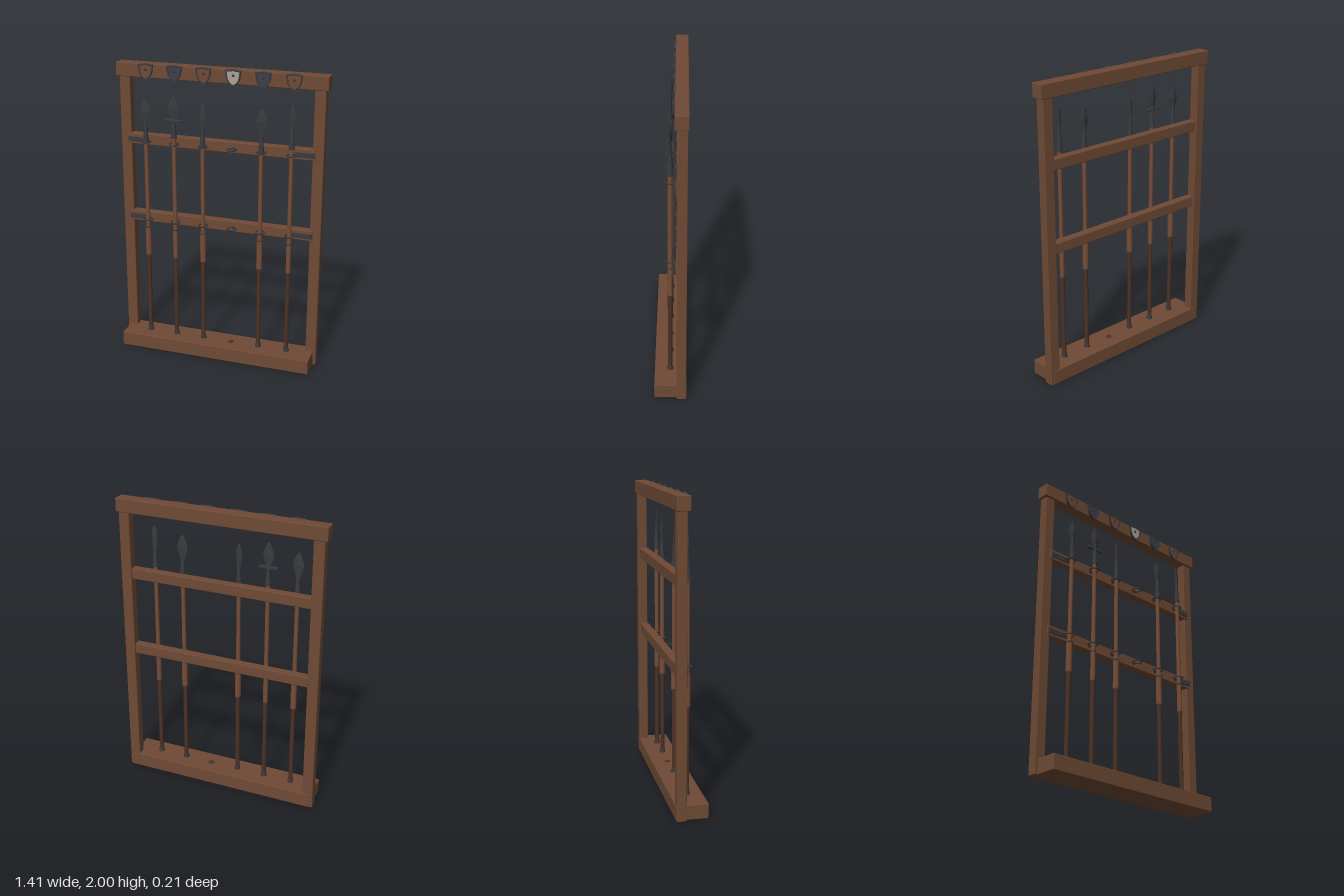
import * as THREE from 'three';
import { RoundedBoxGeometry } from 'three/addons/geometries/RoundedBoxGeometry.js';

const mat = (name, color) => {
  const m = new THREE.MeshStandardMaterial({ color });
  m.name = name;
  return m;
};

export function createModel() {
  const wood = mat('frame wood', 0x6f4a35);
  const shaftWood = mat('shaft wood', 0x774d36);
  const darkWood = mat('dark wood', 0x4c3225);
  const iron = mat('iron', 0x3a3b40);
  const slate = mat('slate paint', 0x3d3f4b);
  const pale = mat('pale paint', 0xa9a497);

  const model = new THREE.Group();
  model.name = 'spearRack';

  const add = (parent, name, geo, material, x = 0, y = 0, z = 0) => {
    const m = new THREE.Mesh(geo, material);
    m.name = name;
    m.position.set(x, y, z);
    parent.add(m);
    return m;
  };
  const group = (name, x, y, z) => {
    const g = new THREE.Group();
    g.name = name;
    g.position.set(x, y, z);
    model.add(g);
    return g;
  };
  // Softly bevelled timber given by its limits
  const beam = (name, x0, x1, y0, y1, z0, z1) =>
    add(model, name, new RoundedBoxGeometry(x1 - x0, y1 - y0, z1 - z0, 2, 0.006), wood,
      (x0 + x1) / 2, (y0 + y1) / 2, (z0 + z1) / 2);
  // Turned part standing between two heights
  const rod = (parent, name, y0, y1, r0, r1, material, sides = 12) =>
    add(parent, name, new THREE.CylinderGeometry(r1, r0, y1 - y0, sides), material, 0, (y0 + y1) / 2, 0);

  // Frame
  beam('base', -0.67, 0.67, 0, 0.1, -0.105, 0.105);
  beam('topBeam', -0.707, 0.707, 1.903, 1.995, -0.108, -0.024);
  beam('rightPost', -0.69, -0.617, 0, 1.91, -0.102, -0.04);
  beam('leftPost', 0.617, 0.69, 0, 1.91, -0.102, -0.04);

  const slots = [-0.495, -0.298, -0.1, 0.098, 0.294, 0.492];
  const rails = [{ y0: 0.905, y1: 0.977, ring: 0.938 }, { y0: 1.45, y1: 1.523, ring: 1.483 }];
  const railFront = -0.034;

  for (const { y0, y1, ring } of rails) {
    beam('rail', -0.64, 0.64, y0, y1, -0.09, railFront);

    // Iron straps with bolts at both rail ends
    for (const s of [-1, 1]) {
      const strap = group('railStrap', s * 0.57, ring, railFront);
      add(strap, 'strapPlate', new THREE.BoxGeometry(0.13, 0.032, 0.01), iron, 0, 0, 0.004);
      for (const bx of [-0.04, 0.04]) {
        const bolt = add(strap, 'strapBolt', new THREE.CylinderGeometry(0.008, 0.009, 0.008, 8), iron, bx, 0, 0.011);
        bolt.rotation.x = Math.PI / 2;
      }
    }

    // Holding rings with studs fixed to the rail
    for (const x of slots) {
      const holder = group('holder', x, ring, 0);
      const loop = add(holder, 'holderRing', new THREE.TorusGeometry(0.03, 0.0045, 6, 24), iron);
      loop.rotation.x = Math.PI / 2;
      const stud = add(holder, 'holderStud', new THREE.CylinderGeometry(0.007, 0.013, 0.012, 10), iron, 0, 0, -0.03);
      stud.rotation.x = Math.PI / 2;
    }
  }

  // Sockets in the base
  for (const x of slots) {
    add(model, 'baseSocket', new THREE.CylinderGeometry(0.021, 0.021, 0.004, 16), darkWood, x, 0.1, 0);
  }

  // Small shields along the top beam
  const shieldShape = (k, Type = THREE.Shape) => {
    const s = new Type();
    s.moveTo(0, -0.058 * k);
    s.quadraticCurveTo(0.04 * k, -0.036 * k, 0.046 * k, 0);
    s.lineTo(0.052 * k, 0.046 * k);
    s.quadraticCurveTo(0.026 * k, 0.045 * k, 0, 0.052 * k);
    s.quadraticCurveTo(-0.026 * k, 0.045 * k, -0.052 * k, 0.046 * k);
    s.lineTo(-0.046 * k, 0);
    s.quadraticCurveTo(-0.04 * k, -0.036 * k, 0, -0.058 * k);
    return s;
  };
  const rimShape = shieldShape(1);
  rimShape.holes.push(shieldShape(0.82, THREE.Path));
  const rimGeo = new THREE.ExtrudeGeometry(rimShape, { depth: 0.015, bevelEnabled: false, curveSegments: 6 });
  const faceGeo = new THREE.ExtrudeGeometry(shieldShape(0.84), { depth: 0.01, bevelEnabled: false, curveSegments: 6 });
  const faceMaterials = [wood, slate, wood, pale, slate, wood];
  slots.forEach((x, i) => {
    const shield = group('shield', x, 1.948, -0.026);
    add(shield, 'shieldRim', rimGeo, iron);
    add(shield, 'shieldFace', faceGeo, faceMaterials[i]);
    const boss = add(shield, 'shieldBoss', new THREE.SphereGeometry(0.009, 10, 6), iron, 0, 0.012, 0.01);
    boss.scale.z = 0.7;
  });

  // Faceted blade with a diamond section, from [half width, height] pairs
  const bladeGeometry = (profile) => {
    const lathe = new THREE.LatheGeometry(profile.map(([r, y]) => new THREE.Vector2(r, y)), 4);
    lathe.scale(1, 1, 0.28);
    const geo = lathe.toNonIndexed();
    geo.computeVertexNormals();
    return geo;
  };
  const broad = [[0.012, -0.19], [0.015, -0.165], [0.029, -0.12], [0.037, -0.088], [0.03, -0.06], [0.014, -0.02], [0, 0]];
  const narrow = [[0.012, -0.17], [0.014, -0.15], [0.02, -0.065], [0.013, -0.028], [0, 0]];

  const spears = [
    { x: slots[0], tip: 1.775, foot: 1.483, blade: broad, grip: 0.02 },
    { x: slots[1], tip: 1.812, foot: 1.53, blade: broad, grip: 0.0165, bar: true },
    { x: slots[2], tip: 1.775, foot: 1.483, blade: narrow, grip: 0.02 },
    { x: slots[4], tip: 1.775, foot: 1.483, blade: broad, grip: 0.02 },
    { x: slots[5], tip: 1.812, foot: 1.53, blade: narrow, grip: 0.0165 },
  ];
  for (const { x, tip, foot, blade, grip, bar } of spears) {
    const spear = group('spear', x, 0, 0.004);
    // Shaft, grip and butt
    rod(spear, 'buttCap', 0.1, 0.127, 0.02, 0.017, iron);
    rod(spear, 'lowerShaft', 0.12, 0.68, 0.0145, 0.0145, darkWood);
    rod(spear, 'grip', 0.675, 0.887, grip, grip, shaftWood);
    rod(spear, 'upperShaft', 0.88, foot + 0.02, 0.0145, 0.0135, shaftWood);
    for (const y of [0.68, 0.885]) rod(spear, 'gripBand', y - 0.004, y + 0.004, grip + 0.002, grip + 0.002, iron);
    // Head
    rod(spear, 'headCollar', foot - 0.004, foot + 0.008, 0.021, 0.021, iron);
    rod(spear, 'headSocket', foot, tip - 0.14, 0.019, 0.009, iron);
    add(spear, 'blade', bladeGeometry(blade), iron, 0, tip, 0);
    rod(spear, 'bladeRidge', tip - 0.145, tip - 0.03, 0.009, 0.003, iron, 8);
    if (bar) add(spear, 'crossBar', new RoundedBoxGeometry(0.126, 0.018, 0.016, 1, 0.004), iron, 0, 1.642, 0);
  }

  return model;
}
